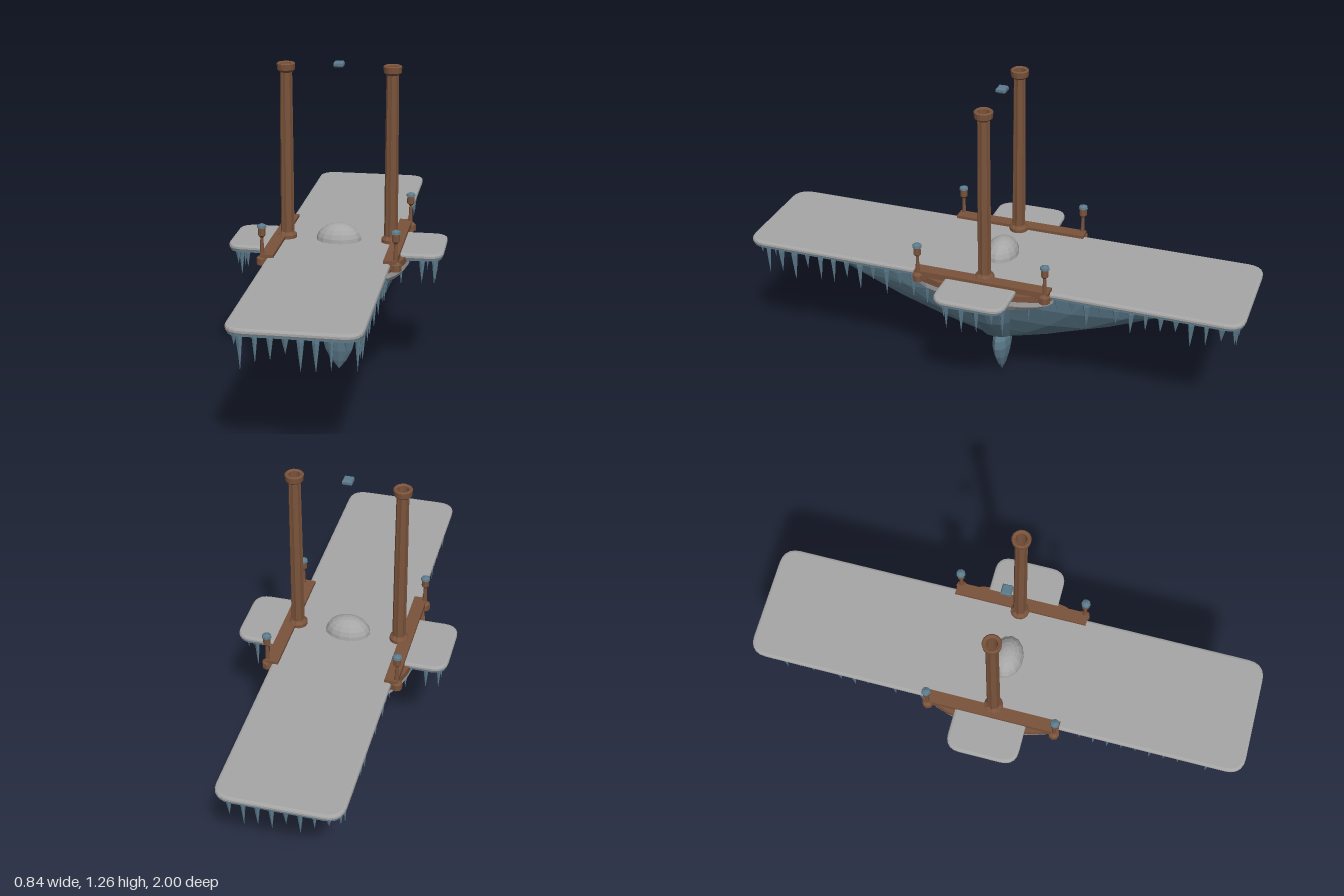
import * as THREE from 'three';

const mat = (name, color) => Object.assign(new THREE.MeshStandardMaterial({ color }), { name });

export function createModel() {
  const model = new THREE.Group();
  model.name = 'airship';
  const stone = mat('pale grey', 0xa6a6a6);
  const slate = mat('slate blue', 0x5c7b8c);
  const wood = mat('brown wood', 0x7a533b);

  // Faceted mesh helper
  function add(name, geometry, material, x = 0, y = 0, z = 0, parent = model) {
    const g = geometry.index ? geometry.toNonIndexed() : geometry;
    g.computeVertexNormals();
    const mesh = new THREE.Mesh(g, material);
    mesh.name = name;
    mesh.position.set(x, y, z);
    parent.add(mesh);
    return mesh;
  }
  const lathe = (points, sides) =>
    new THREE.LatheGeometry(points.map(([r, y]) => new THREE.Vector2(r, y)), sides);

  // Cross-shaped outline with rounded outer corners
  const W = 0.235, L = 1, A = 0.42, B = 0.143;
  function crossShape(inset) {
    const w = W - inset, l = L - inset, a = A - inset, b = B - inset;
    const r = 0.07 - inset, q = 0.06 - inset;
    const s = new THREE.Shape();
    s.moveTo(w, b);
    s.lineTo(w, l - r);
    s.quadraticCurveTo(w, l, w - r, l);
    s.lineTo(r - w, l);
    s.quadraticCurveTo(-w, l, -w, l - r);
    s.lineTo(-w, b);
    s.lineTo(q - a, b);
    s.quadraticCurveTo(-a, b, -a, b - q);
    s.lineTo(-a, q - b);
    s.quadraticCurveTo(-a, -b, q - a, -b);
    s.lineTo(-w, -b);
    s.lineTo(-w, r - l);
    s.quadraticCurveTo(-w, -l, r - w, -l);
    s.lineTo(w - r, -l);
    s.quadraticCurveTo(w, -l, w, r - l);
    s.lineTo(w, -b);
    s.lineTo(a - q, -b);
    s.quadraticCurveTo(a, -b, a, q - b);
    s.lineTo(a, b - q);
    s.quadraticCurveTo(a, b, a - q, b);
    s.closePath();
    return s;
  }

  // Deck slab and its darker underside
  const deck = new THREE.ExtrudeGeometry(crossShape(0.01), {
    depth: 0.008, bevelEnabled: true, bevelSize: 0.01, bevelThickness: 0.007,
    bevelSegments: 2, curveSegments: 5,
  });
  add('deck', deck.rotateX(Math.PI / 2), stone, 0, 0.548, 0);
  const under = new THREE.ExtrudeGeometry(crossShape(0.006), {
    depth: 0.008, bevelEnabled: false, curveSegments: 5,
  });
  add('deckUnderside', under.rotateX(Math.PI / 2), slate, 0, 0.535, 0);

  // Hull halves: squared-oval rings [y, halfX, halfZ] from top to bottom
  function loft(rings, sides = 16) {
    const power = 2 / 2.7;
    const bend = v => Math.sign(v) * Math.abs(v) ** power;
    const pos = [], index = [];
    rings.forEach(([y, hx, hz]) => {
      for (let i = 0; i < sides; i++) {
        const t = (i / sides) * Math.PI * 2;
        pos.push(hx * bend(Math.cos(t)), y, hz * bend(Math.sin(t)));
      }
    });
    for (let k = 0; k < rings.length - 1; k++) {
      for (let i = 0; i < sides; i++) {
        const a = k * sides + i, b = k * sides + (i + 1) % sides;
        index.push(a, b, a + sides, b, b + sides, a + sides);
      }
    }
    const g = new THREE.BufferGeometry();
    g.setAttribute('position', new THREE.Float32BufferAttribute(pos, 3));
    g.setIndex(index);
    return g;
  }
  add('longHull', loft([
    [0.53, 0.2, 0.86], [0.44, 0.185, 0.69], [0.35, 0.15, 0.49],
    [0.27, 0.105, 0.28], [0.215, 0.07, 0.1], [0.19, 0.03, 0.03], [0.187, 0, 0],
  ]), slate);
  add('crossHull', loft([
    [0.53, 0.36, 0.13], [0.48, 0.28, 0.125], [0.43, 0.23, 0.12], [0.33, 0.18, 0.1],
    [0.22, 0.095, 0.07], [0.19, 0.035, 0.03], [0.187, 0, 0],
  ]), slate);

  // Flattened bulb hanging under the keel
  const bulb = lathe([[0, 0.005], [0.032, 0.045], [0.056, 0.09], [0.068, 0.135],
    [0.064, 0.17], [0.045, 0.205], [0, 0.215]], 10);
  add('keelBulb', bulb.scale(1, 1, 0.52), slate);

  // Icicles along the deck edge, with varied lengths
  const icicles = new THREE.Group();
  icicles.name = 'icicles';
  model.add(icicles);
  let seed = 7;
  const random = () => (seed = (seed * 16807) % 2147483647) / 2147483647;
  function icicle(x, z) {
    const h = 0.055 + 0.085 * random(), r = 0.009 + 0.005 * random();
    const g = lathe([[0, -h], [r * 0.55, -h * 0.55], [r, -h * 0.15], [r * 0.9, 0]], 6);
    add('icicle', g, slate, x, 0.53, z, icicles);
  }
  function row(x0, z0, x1, z1) {
    const n = Math.round(Math.hypot(x1 - x0, z1 - z0) / 0.055);
    for (let i = 0; i <= n; i++) {
      const t = i / n;
      icicle(x0 + (x1 - x0) * t, z0 + (z1 - z0) * t);
    }
  }
  for (const s of [-1, 1]) {
    row(-0.18, s * 0.965, 0.18, s * 0.965);
    row(s * 0.385, -0.09, s * 0.385, 0.09);
    for (const e of [-1, 1]) {
      row(s * 0.21, e * 0.18, s * 0.21, e * 0.92);
      row(s * 0.26, e * 0.118, s * 0.34, e * 0.118);
    }
  }

  // Central dome
  const dome = new THREE.SphereGeometry(1, 14, 6, 0, Math.PI * 2, 0, Math.PI / 2);
  add('dome', dome.scale(0.09, 0.07, 0.066), stone, 0, 0.552, 0);

  // Columns, side galleries and lamps, mirrored
  for (const s of [-1, 1]) {
    const side = new THREE.Group();
    side.name = s > 0 ? 'leftSide' : 'rightSide';
    model.add(side);

    // Hollow fluted column: alternate shaft edges are pulled in
    const column = lathe([[0.037, 0.55], [0.037, 0.568], [0.027, 0.58], [0.026, 0.9],
      [0.024, 1.215], [0.034, 1.225], [0.036, 1.248], [0.031, 1.252],
      [0.021, 1.248], [0.02, 0.556]], 16);
    const p = column.attributes.position;
    for (let i = 0; i < p.count; i++) {
      const ring = i % 10, edge = Math.floor(i / 10);
      if (ring >= 2 && ring <= 4 && edge % 2) p.setXYZ(i, p.getX(i) * 0.88, p.getY(i), p.getZ(i) * 0.88);
    }
    add('column', column, wood, s * 0.205, 0, 0, side);

    // Plank, gallery rim and bowl
    add('plank', new THREE.BoxGeometry(0.05, 0.034, 0.54), wood, s * 0.234, 0.55, 0, side);
    const rim = new THREE.CylinderGeometry(1, 1, 0.025, 20);
    add('galleryRim', rim.scale(0.09, 1, 0.285), wood, s * 0.202, 0.531, 0, side);
    const bowl = lathe([[0, 0.448], [0.5, 0.45], [0.78, 0.468], [0.96, 0.495], [0.97, 0.52]], 20);
    add('galleryBowl', bowl.scale(0.09, 1, 0.285), stone, s * 0.202, 0, 0, side);

    // Lamp posts at both plank ends
    for (const e of [-1, 1]) {
      const lamp = new THREE.Group();
      lamp.name = 'lamp';
      lamp.position.set(s * 0.254, 0, e * 0.255);
      side.add(lamp);
      add('lampPost', lathe([[0, 0.525], [0.022, 0.525], [0.022, 0.55], [0.009, 0.56],
        [0.006, 0.63], [0.015, 0.64], [0.015, 0.668], [0, 0.672]], 8), wood, 0, 0, 0, lamp);
      add('lampCap', lathe([[0, 0.668], [0.019, 0.67], [0.017, 0.679], [0, 0.687]], 8),
        slate, 0, 0, 0, lamp);
    }
  }

  // Small chamfered stone floating above
  const gem = lathe([[0, 1.24], [0.021, 1.24], [0.027, 1.246], [0.027, 1.256],
    [0.021, 1.262], [0, 1.262]], 4);
  add('floatingStone', gem.rotateY(Math.PI / 4), slate);

  return model;
}
